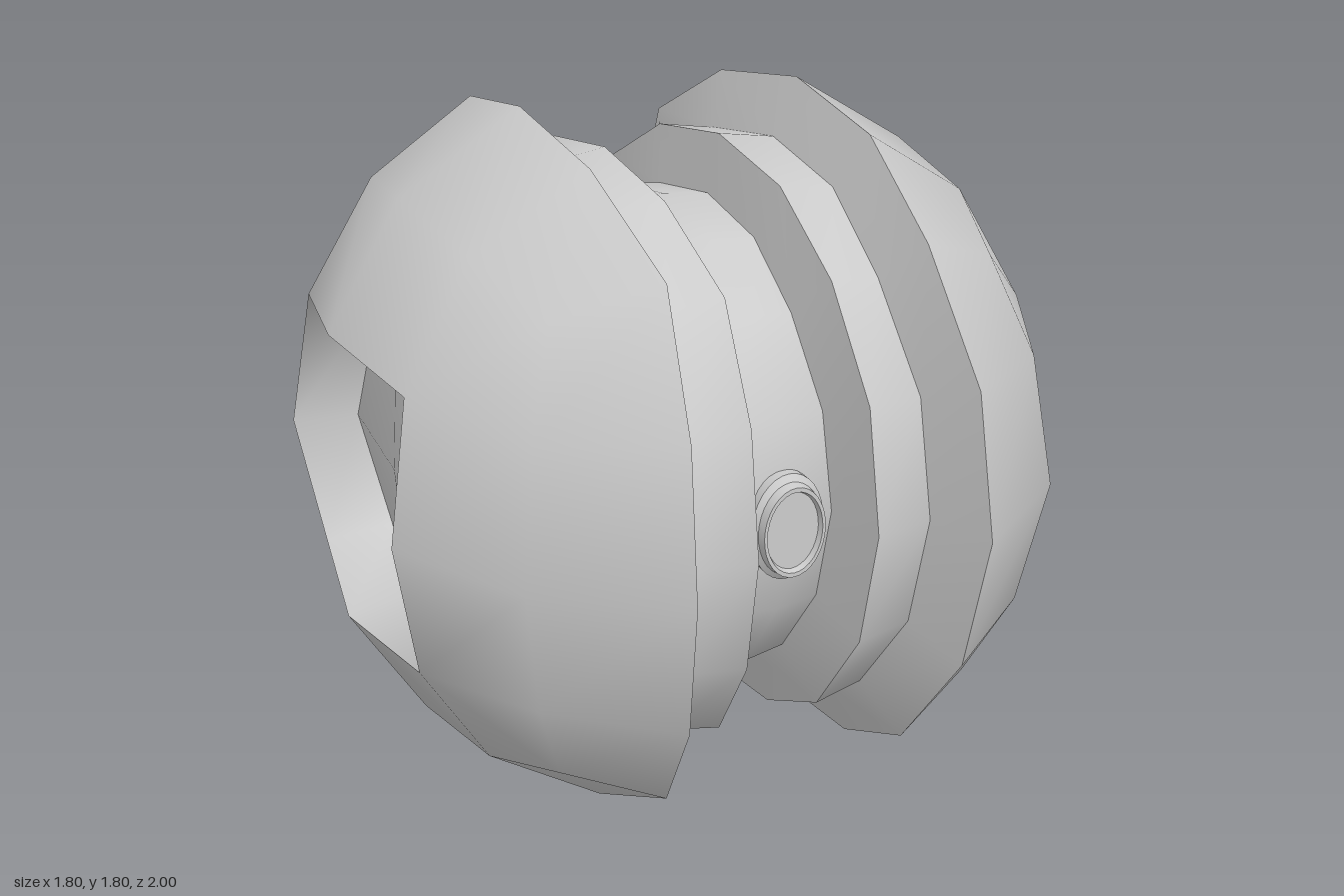
import * as THREE from 'three';
import { mergeVertices } from 'three/addons/utils/BufferGeometryUtils.js';

const CY = 0.902; // centre height and vertical squash
const material = new THREE.MeshStandardMaterial({ color: 0xcccccc });

// A ring round the x axis is given by three [x, along, across] points of one octant.
const scaled = (s, x0, x1, x2) => [[x0, s, 0], [x1, 0.933 * s, 0.4 * s], [x2, 0.735 * s, 0.735 * s]];
const square = (xMid, mid, xCorner, c) => [[xMid, mid, 0], [xCorner, c, c], [xCorner, c, c]];

const RINGS = {
  coreMid: scaled(0.705, 0, 0, 0),
  coreEdge: scaled(0.688, 0.13, 0.122, 0.105),
  collarIn: scaled(0.86, 0.16, 0.155, 0.14),
  collarOut: scaled(0.832, 0.32, 0.31, 0.28),
  shellEdge: scaled(1, 0.385, 0.37, 0.335),
  shellMid: [[0.705, 0.785, 0], [0.66, 0.735, 0.372], [0.577, 0.64, 0.64]],
  rim: square(0.9, 0.43, 0.84, 0.4),
  floor: square(0.73, 0.395, 0.66, 0.368),
  pole: square(0.755, 0, 0.755, 0),
};

const mirrored = (ring) => ring.map(([x, a, b]) => [-x, a, b]);

// Expand the octant to the 16 points of a full ring
function ringPoints(ring) {
  const points = [];
  for (let q = 0; q < 4; q++) {
    for (let m = 0; m < 4; m++) {
      const [x, u, v] = ring[m === 3 ? 1 : m];
      let [a, b] = m === 3 ? [v, u] : [u, v];
      for (let i = 0; i < q; i++) [a, b] = [-b, a];
      points.push([x, a * CY, b]);
    }
  }
  return points;
}

// Smooth band through rings, ordered so that the outside faces out
function band(name, rings) {
  const index = [];
  const pos = rings.flatMap(ringPoints).flat();
  for (let i = 0; i < rings.length - 1; i++) {
    for (let j = 0; j < 16; j++) {
      const a = i * 16 + j, b = i * 16 + ((j + 1) % 16);
      index.push(a, b, a + 16, b, b + 16, a + 16);
    }
  }
  let geo = new THREE.BufferGeometry();
  geo.setAttribute('position', new THREE.Float32BufferAttribute(pos, 3));
  geo.setIndex(index);
  geo = mergeVertices(geo, 1e-4);
  geo.computeVertexNormals();
  const mesh = new THREE.Mesh(geo, material);
  mesh.name = name;
  return mesh;
}

export function createModel() {
  const model = new THREE.Group();
  model.name = 'groovedBall';
  const body = new THREE.Group();
  body.name = 'body';
  body.position.y = CY;
  model.add(body);

  // Central core between the two halves
  const R = RINGS;
  body.add(band('core', [mirrored(R.coreEdge), R.coreMid, R.coreEdge]));

  // Stepped halves, each with a square recess in its end
  const parts = {
    CollarWall: [R.coreEdge, R.collarIn],
    Collar: [R.collarIn, R.collarOut],
    ShellWall: [R.collarOut, R.shellEdge],
    Shell: [R.shellEdge, R.shellMid, R.rim],
    RecessWall: [R.rim, R.floor],
    RecessFloor: [R.floor, R.pole],
  };
  for (const [name, rings] of Object.entries(parts)) {
    body.add(band('left' + name, rings));
    body.add(band('right' + name, rings.map(mirrored).reverse()));
  }

  // Oval button on the front of the core, one lathe per smooth section
  const button = new THREE.Group();
  button.name = 'frontButton';
  const profile = [[0.098, 0.64], [0.098, 0.705], [0.086, 0.717], [0.083, 0.743], [0.075, 0.743], [0.071, 0.728], [0, 0.728]];
  for (let i = 0; i < profile.length - 1; i++) {
    const pts = [profile[i], profile[i + 1]].map(([r, h]) => new THREE.Vector2(r, h));
    const part = new THREE.Mesh(new THREE.LatheGeometry(pts, 32), material);
    part.name = 'buttonSection';
    part.rotation.x = Math.PI / 2;
    button.add(part);
  }
  button.scale.y = 1.42;
  button.position.y = -0.007;
  body.add(button);

  return model;
}
